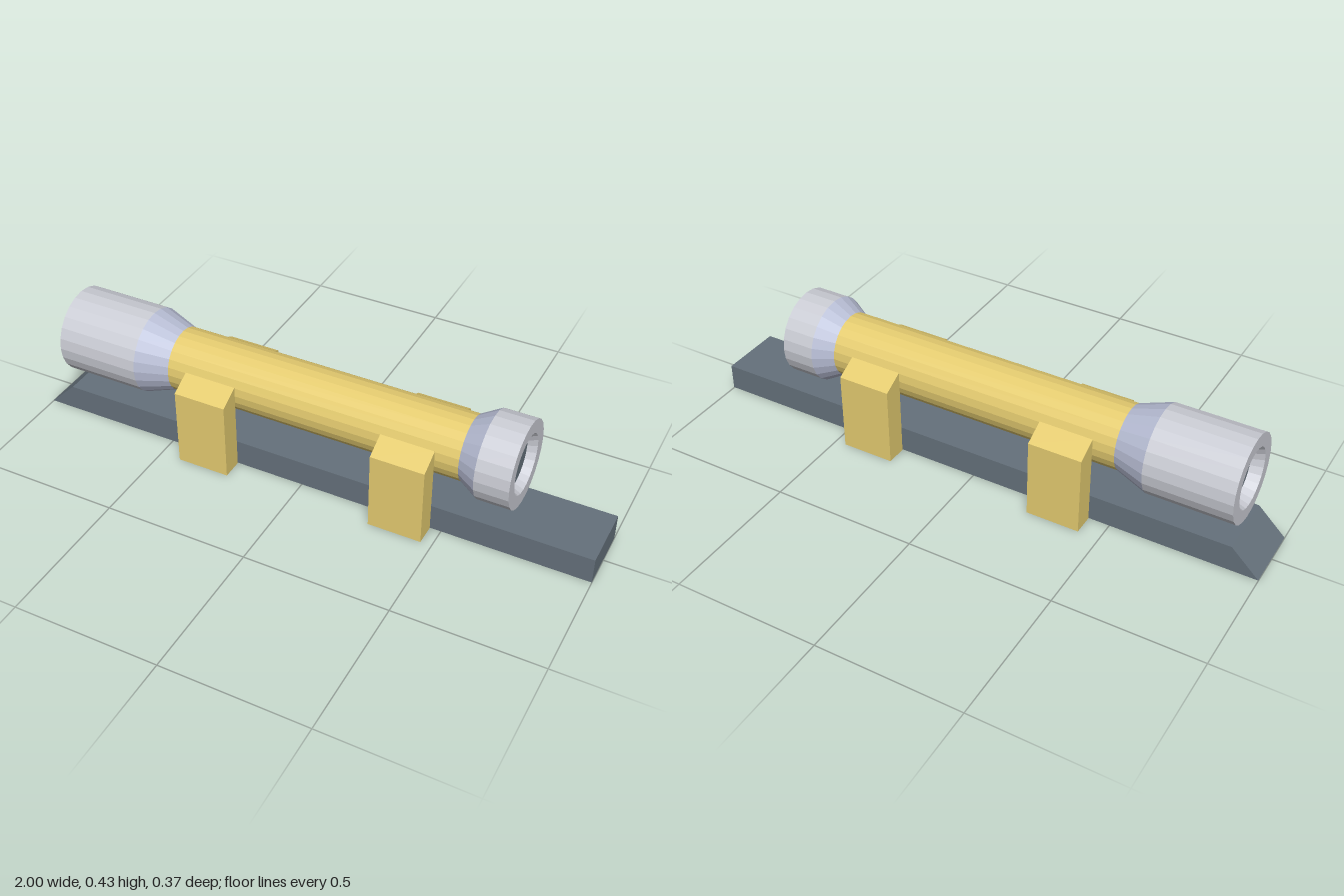
import * as THREE from 'three';

const AXIS_Y = 0.28; // height of the tube axis
const SIDES = 24;

const mat = (color) => new THREE.MeshStandardMaterial({ color, flatShading: true });

export function createModel() {
  const group = new THREE.Group();
  const yellow = mat(0xe5cc70);
  const silver = mat(0xcbcdd5);
  const blueGrey = mat(0xb9bfd6);
  const slate = mat(0x65717b);

  const add = (name, geometry, material) => {
    const mesh = new THREE.Mesh(geometry, material);
    mesh.name = name;
    group.add(mesh);
    return mesh;
  };

  // Surface of revolution about the tube axis; points are [x, radius]
  const turned = (name, points, material) => {
    const profile = points.map(([x, r]) => new THREE.Vector2(r, x));
    const geometry = new THREE.LatheGeometry(profile, SIDES);
    geometry.rotateZ(-Math.PI / 2);
    geometry.translate(0, AXIS_Y, 0);
    return add(name, geometry, material);
  };

  // Prism from a closed outline, centred on its extrusion depth
  const prism = (outline, depth) => {
    const shape = new THREE.Shape(outline.map(([a, b]) => new THREE.Vector2(a, b)));
    const geometry = new THREE.ExtrudeGeometry(shape, { depth, bevelEnabled: false });
    return geometry.translate(0, 0, -depth / 2);
  };

  // Tube, flared cones and end bells with recessed lenses
  turned('tube', [[-0.5, 0.11], [0.54, 0.11]], yellow);
  turned('largeCone', [[-0.61, 0.148], [-0.5, 0.11]], blueGrey);
  turned('smallCone', [[0.54, 0.11], [0.605, 0.148]], blueGrey);
  turned('largeBell', [[-0.865, 0.087], [-0.905, 0.101], [-0.905, 0.148], [-0.61, 0.148]], silver);
  turned('smallBell', [[0.605, 0.148], [0.72, 0.148], [0.72, 0.101], [0.69, 0.087]], silver);
  turned('largeLens', [[-0.865, 0], [-0.865, 0.087]], slate);
  turned('smallLens', [[0.69, 0.087], [0.69, 0]], slate);

  // Rail with one slanted end, a hair above the clamp undersides
  add('rail', prism([[-1, 0.002], [1, 0.002], [1, 0.094], [-0.905, 0.094]], 0.224), slate);

  // U-shaped clamps wrapping under the rail and up both sides of the tube
  const half = [[0.185, 0], [0.185, 0.278], [0.112, 0.316], [0.112, 0.05]];
  const mirrored = half.map(([z, y]) => [-z, y]).reverse();
  for (const [name, x] of [['rightClamp', -0.335], ['leftClamp', 0.37]]) {
    const clamp = add(name, prism([...half, ...mirrored], 0.184), yellow);
    clamp.rotation.y = Math.PI / 2;
    clamp.position.x = x;
  }

  return group;
}
